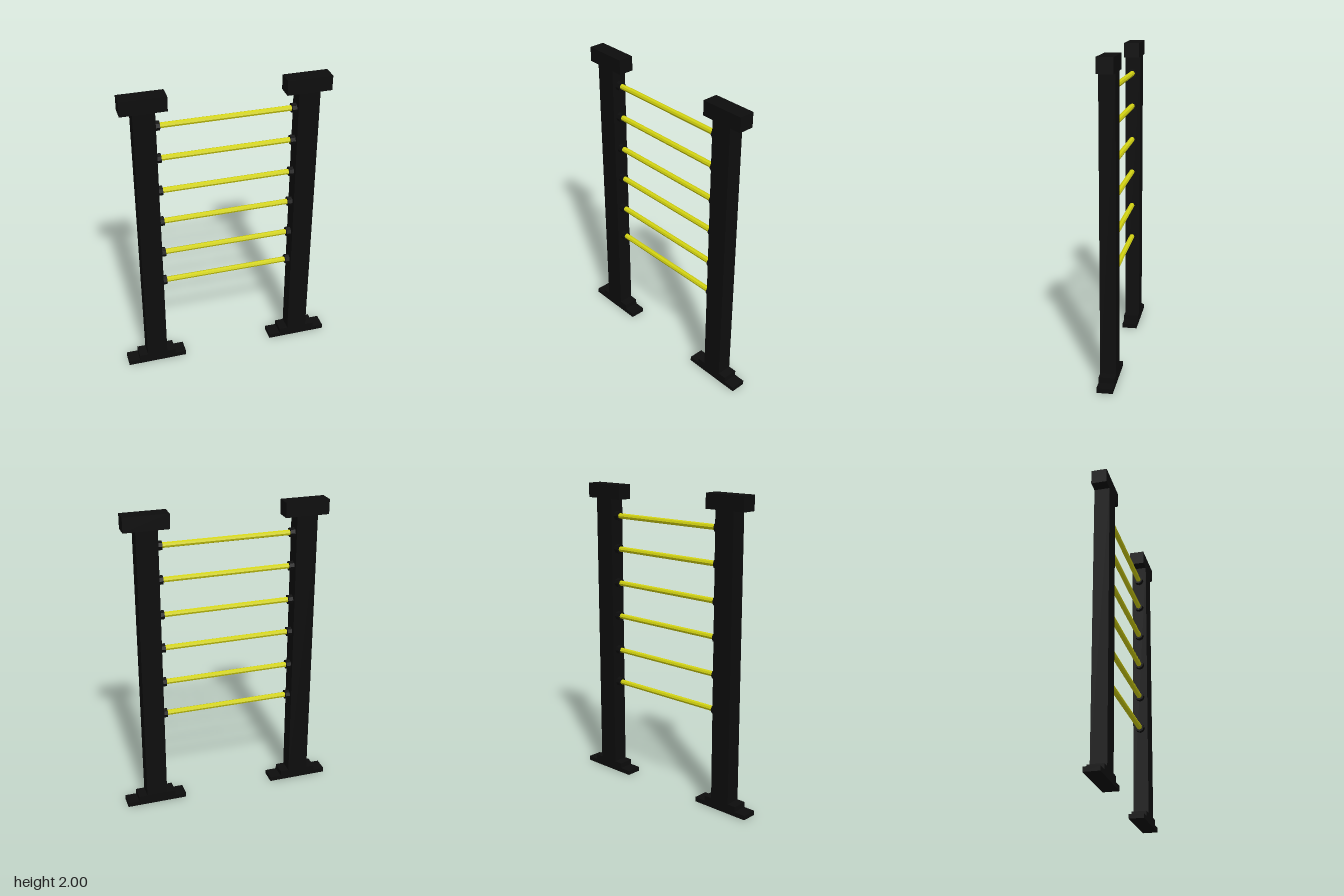
import * as THREE from 'three';

export function createModel() {
  const model = new THREE.Group();
  model.name = 'wallBars';

  const black = new THREE.MeshStandardMaterial({ color: 0x0d0d0d, flatShading: true });
  black.name = 'black';
  const yellow = new THREE.MeshStandardMaterial({ color: 0xd2d212, flatShading: true });
  yellow.name = 'yellow';

  const depth = 0.1;
  const postX = 0.509;
  const postWidth = 0.136;
  const innerX = postX - postWidth / 2;

  const add = (parent, name, geometry, material, x, y) => {
    const mesh = new THREE.Mesh(geometry, material);
    mesh.name = name;
    mesh.position.set(x, y, 0);
    parent.add(mesh);
  };
  // Full-depth block spanning y0 to y1
  const block = (parent, name, width, y0, y1) =>
    add(parent, name, new THREE.BoxGeometry(width, y1 - y0, depth), black, 0, (y0 + y1) / 2);
  // Eight-sided rod lying along x
  const rod = (radius, length) =>
    new THREE.CylinderGeometry(radius, radius, length, 8).rotateZ(Math.PI / 2);

  // Posts with stepped feet and caps
  for (const side of [-1, 1]) {
    const post = new THREE.Group();
    post.name = side > 0 ? 'leftPost' : 'rightPost';
    post.position.x = side * postX;
    block(post, 'footPlate', 0.402, 0, 0.03);
    block(post, 'footStep', 0.25, 0.03, 0.065);
    block(post, 'upright', postWidth, 0.065, 1.905);
    block(post, 'cap', 0.286, 1.905, 2);
    model.add(post);
  }

  // Rungs with a collar at each end
  for (const y of [1.795, 1.575, 1.345, 1.118, 0.878, 0.65]) {
    add(model, 'rung', rod(0.018, innerX * 2), yellow, 0, y);
    for (const side of [-1, 1]) {
      add(model, 'collar', rod(0.031, 0.034), black, side * (innerX - 0.013), y);
    }
  }
  return model;
}
